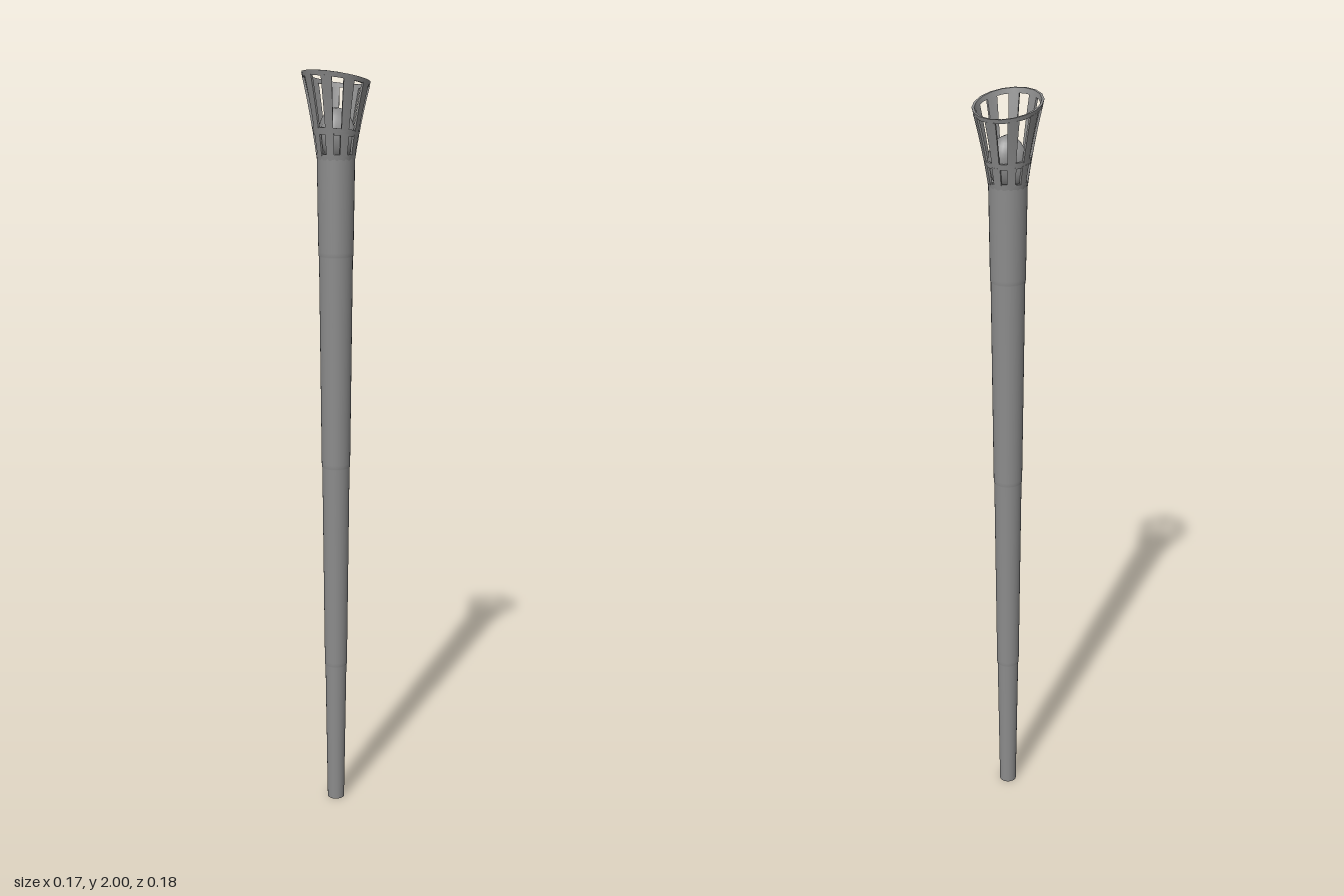
import * as THREE from 'three';
import { toCreasedNormals } from 'three/addons/utils/BufferGeometryUtils.js';

const BASKET_BASE = 1.775;
const BARS = 9;
const WALL = 0.006;

export function createModel() {
  const model = new THREE.Group();
  model.name = 'torch';
  const darkGrey = new THREE.MeshStandardMaterial({ color: 0x8c8c8c, side: THREE.DoubleSide });

  const add = (name, geometry, parent = model) => {
    const mesh = new THREE.Mesh(geometry, darkGrey);
    mesh.name = name;
    parent.add(mesh);
    return mesh;
  };
  const lathe = (points) =>
    new THREE.LatheGeometry(points.map(([r, y]) => new THREE.Vector2(r, y)), 32);

  // Tapered shaft: each section overlaps the one below with a small soft step
  const profile = [[0.023, 0]];
  for (const [r, y] of [[0.0295, 0.4], [0.037, 0.965], [0.0445, 1.53]]) {
    profile.push([r - 0.0006, y - 0.003], [r + 0.0008, y], [r + 0.001, y + 0.01]);
  }
  profile.push([0.049, 1.79]);
  add('shaft', lathe(profile));
  add('bottomCap', toCreasedNormals(lathe([[0, 0.003], [0.019, 0.003], [0.02, 0], [0.023, 0]]), 0.6));
  add('shaftTop', toCreasedNormals(lathe([[0.049, 1.79], [0.044, 1.79], [0.042, 1.785], [0, 1.785]]), 0.6));

  // Curved wall piece of the flared basket: angles a0..a1, height fractions u0..u1.
  // The mouth slopes, highest at the front.
  const wall = (a0, a1, u0, u1, segments) => {
    const geometry = new THREE.BoxGeometry(1, 1, 1, segments, 4, 1);
    const p = geometry.attributes.position;
    for (let i = 0; i < p.count; i++) {
      const a = a0 + (a1 - a0) * (p.getX(i) + 0.5);
      const u = u0 + (u1 - u0) * (p.getY(i) + 0.5);
      const height = 1.979 + 0.021 * Math.cos(a) - BASKET_BASE;
      const r = 0.049 + 0.028 * u + 0.011 * u * u + (p.getZ(i) - 0.5) * WALL;
      p.setXYZ(i, r * Math.sin(a), BASKET_BASE + u * height, r * Math.cos(a));
    }
    return toCreasedNormals(geometry, 0.6);
  };

  const basket = new THREE.Group();
  basket.name = 'basket';
  model.add(basket);
  const bands = [['basketFoot', 0, 0.07], ['middleBand', 0.29, 0.37], ['slopingRim', 0.94, 1]];
  for (const [name, u0, u1] of bands) add(name, wall(0, Math.PI * 2, u0, u1, 18), basket);
  for (let i = 0; i < BARS; i++) {
    const a = Math.PI + (i * Math.PI * 2) / BARS;
    add('lowerBar', wall(a - 0.2, a + 0.2, 0.05, 0.31, 2), basket);
    add('upperBar', wall(a - 0.17, a + 0.17, 0.35, 0.95, 2), basket);
  }

  // Lumpy burner core with a soft, slightly off-centre peak
  const core = new THREE.SphereGeometry(1, 32, 20);
  const p = core.attributes.position;
  for (let i = 0; i < p.count; i++) {
    const x = p.getX(i), y = p.getY(i), z = p.getZ(i);
    const a = Math.atan2(x, z);
    const ring = Math.hypot(x, z);
    const lobe = 1 + ring * (0.08 * Math.cos(4 * a) + 0.04 * Math.sin(3 * a + 0.6));
    p.setXYZ(
      i,
      x * 0.049 * lobe - 0.004 * Math.max(y, 0),
      1.835 + y * 0.068 * (1 + 0.05 * ring * Math.sin(3 * a)),
      z * 0.047 * lobe - 0.003 - 0.004 * Math.max(y, 0),
    );
  }
  core.computeVertexNormals();
  add('burnerCore', core);

  return model;
}
